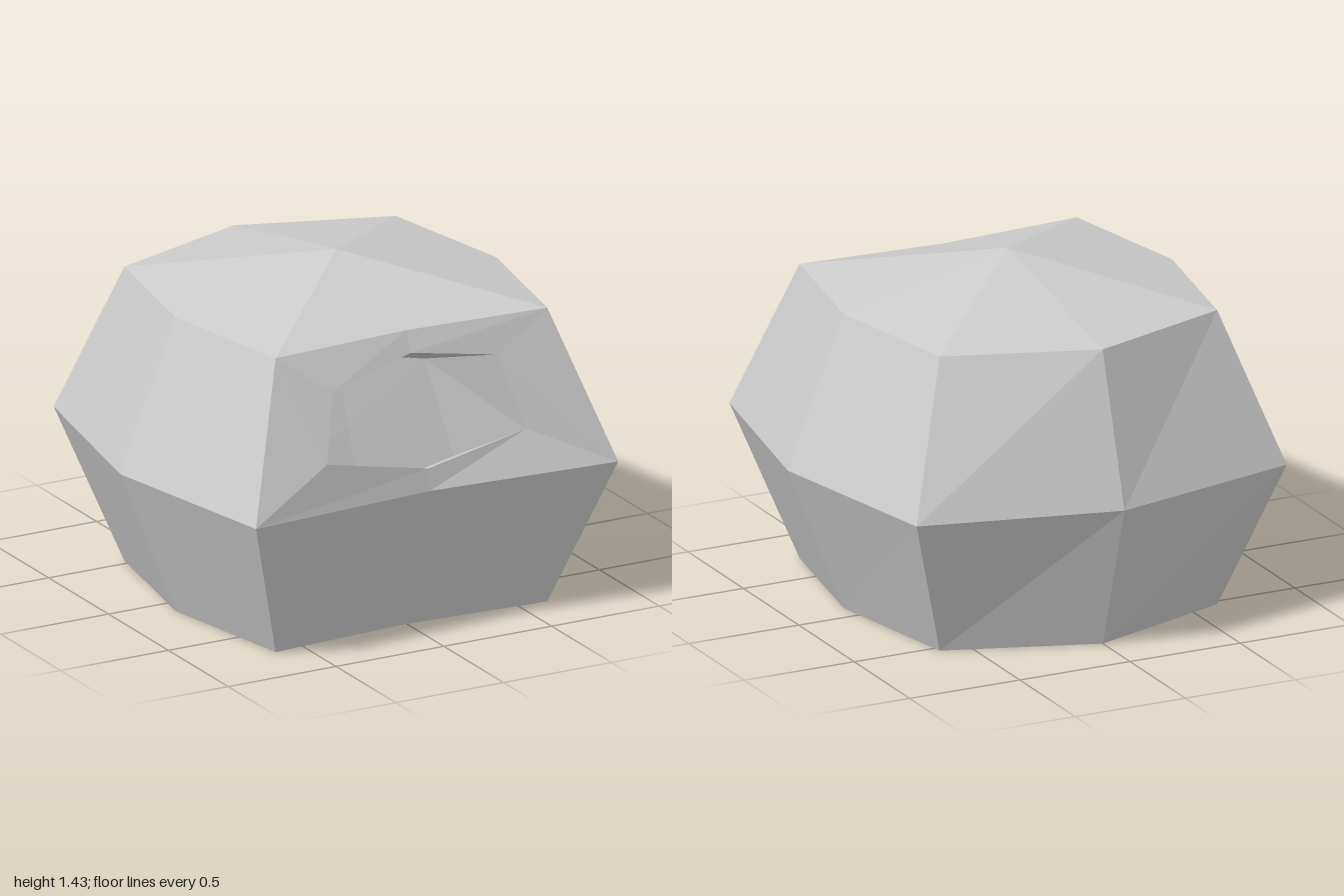
import * as THREE from 'three';

const material = new THREE.MeshStandardMaterial({ color: 0xcccccc, flatShading: true });

// Faceted mesh from a list of convex polygons (corners counter-clockwise from outside)
function facetMesh(name, polygons) {
  const positions = [];
  for (const p of polygons) {
    for (let i = 1; i < p.length - 1; i++) positions.push(...p[0], ...p[i], ...p[i + 1]);
  }
  const geometry = new THREE.BufferGeometry();
  geometry.setAttribute('position', new THREE.Float32BufferAttribute(positions, 3));
  geometry.computeVertexNormals();
  const mesh = new THREE.Mesh(geometry, material);
  mesh.name = name;
  return mesh;
}

// Quads joining two closed loops
const bridge = (a, b) => a.map((p, i) => {
  const j = (i + 1) % a.length;
  return [p, a[j], b[j], b[i]];
});

// Triangles from a closed loop to one point
const fan = (loop, tip) => loop.map((p, i) => [p, loop[(i + 1) % loop.length], tip]);

// Symmetric eight-sided ring, starting at the front centre and running towards +x
function ring(y, frontZ, cornerX, frontCornerZ, sideX, backCornerZ, backZ) {
  const half = [[cornerX, y, frontCornerZ], [sideX, y, 0.1], [cornerX, y, backCornerZ]];
  const mirrored = half.map(([x, h, z]) => [-x, h, z]).reverse();
  return [[0, y, frontZ], ...half, [0, y, backZ], ...mirrored];
}

export function createModel() {
  const group = new THREE.Group();
  group.name = 'dome';

  const narrow = [0.69, 0.63, 0.73, 0.745, -0.535, -0.755];
  const base = ring(0, ...narrow);
  const middle = ring(0.633, 0.885, 0.84, 0.945, 1, -0.745, -0.95);
  const top = ring(1.265, ...narrow);

  // Lower and upper walls; the two front upper panels hold the doorway
  group.add(facetMesh('lowerWall', bridge(base, middle)));
  group.add(facetMesh('upperWall', bridge(middle, top).slice(1, 7)));
  group.add(facetMesh('roof', fan(top, [0, 1.432, 0.105])));
  group.add(facetMesh('bottom', fan([...base].reverse(), [0, 0, 0.1])));

  // Doorway loops: lower left, lower centre, lower right, then back along the top
  const frame = [middle[7], middle[0], middle[1], top[1], top[0], top[7]];
  const opening = [
    [-0.485, 0.835, 0.9], [0, 0.725, 0.87], [0.47, 0.805, 0.84],
    [0.385, 1.115, 0.76], [0, 1.178, 0.725], [-0.405, 1.1, 0.8],
  ];
  const recess = [
    [-0.445, 0.53, 0.29], [0, 0.43, 0.29], [0.46, 0.51, 0.26],
    [0.39, 0.9, 0.13], [0, 0.98, 0.1], [-0.4, 0.875, 0.16],
  ];
  group.add(facetMesh('frontPanel', bridge(frame, opening)));
  group.add(facetMesh('doorwaySides', bridge(opening, recess)));
  group.add(facetMesh('doorwayBack', fan(recess, [0, 0.7, 0.2])));

  return group;
}
